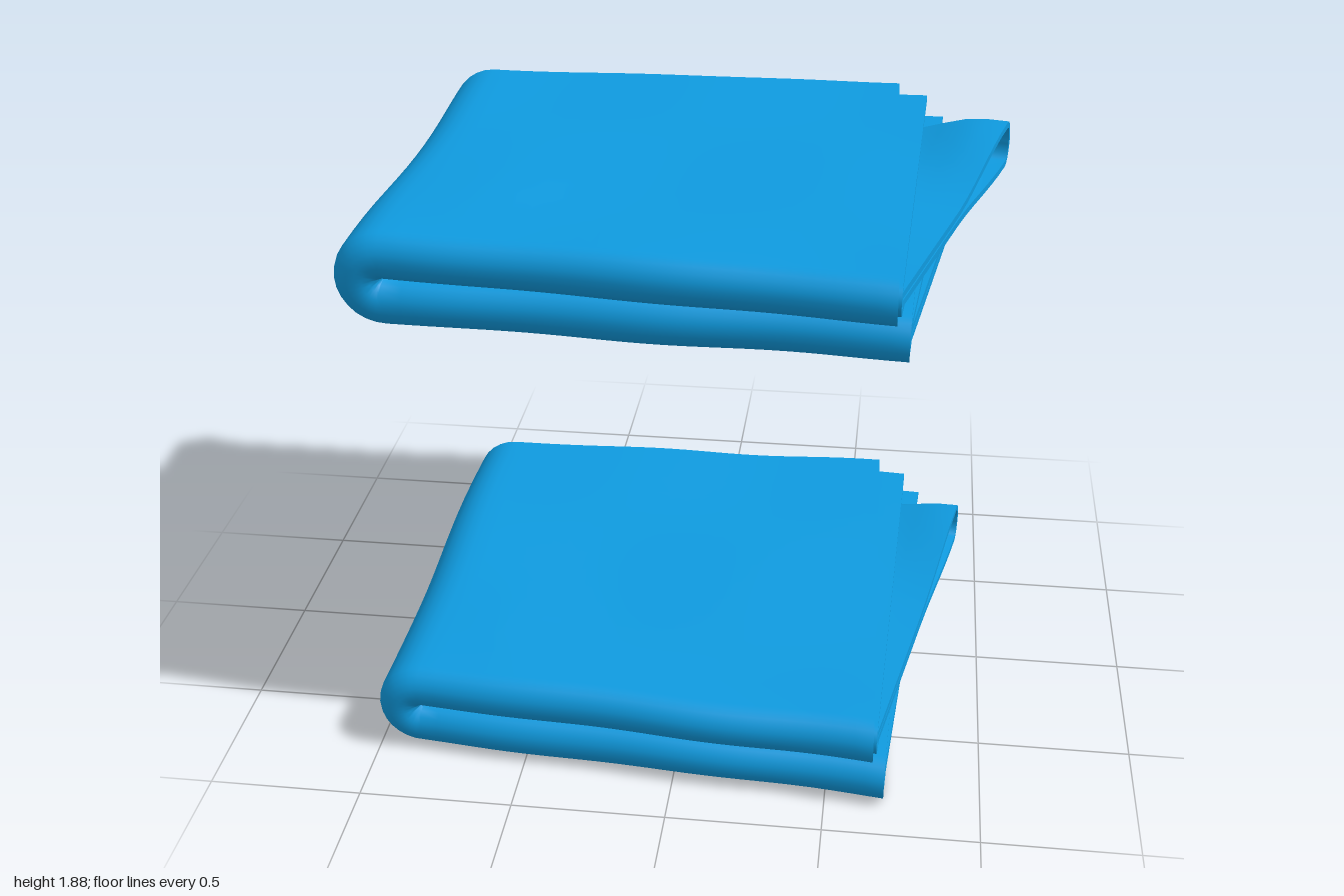
import * as THREE from 'three';
import { toCreasedNormals } from 'three/addons/utils/BufferGeometryUtils.js';

const { lerp, smoothstep } = THREE.MathUtils;
const THICK = 0.021; // cloth thickness
const BEND_X = -0.85; // where the folded strip starts to turn over
const L = 1.7; // nominal depth of a panel

const material = new THREE.MeshStandardMaterial({ color: 0x0f9be0, side: THREE.DoubleSide });

// Centreline of one folded layer as [w, d]: w runs front to back, d is the height above the middle fold.
function centreline(dTop, dLow, looped) {
  const pts = [], mid = (dTop + dLow) / 2, r = (dTop - dLow) / 2, rows = 14;
  const line = (a, b, d, n) => { for (let i = 0; i < n; i++) pts.push([lerp(a, b, i / n), d]); };
  const back = looped ? 0.05 : 0;
  if (looped) {
    line(0.85, L - back, dLow, rows / 2);
    for (let i = 0; i < 12; i++) {
      const a = -Math.PI / 2 + Math.PI * i / 12;
      pts.push([L - back + back * Math.cos(a), mid + r * Math.sin(a)]);
    }
  }
  line(L - back, r, dTop, rows);
  for (let i = 0; i < 10; i++) {
    const a = Math.PI / 2 + Math.PI * i / 10;
    pts.push([r + r * Math.cos(a), mid + r * Math.sin(a)]);
  }
  const end = looped ? 0.85 : L;
  line(r, end, dLow, rows);
  pts.push([end, dLow]);
  return pts;
}

// Half-specs hold the right end of the front and back edges, plus where those edges reach on the left.
function layerGeometry(layer, yc, seed) {
  const { dTop, dLow, looped, upper, lower } = layer;
  const line = centreline(dTop, dLow, looped), n = line.length, mid = (dTop + dLow) / 2;

  // Ring around the thick cloth section: outer side forwards, inner side back
  const offsets = line.map((p, i) => {
    const a = line[Math.max(i - 1, 0)], b = line[Math.min(i + 1, n - 1)];
    const tw = b[0] - a[0], td = b[1] - a[1], len = Math.hypot(tw, td);
    return [td / len * THICK / 2, -tw / len * THICK / 2];
  });
  const ring = [
    ...line.map((p, i) => [p, offsets[i]]),
    ...line.map((p, i) => [p, offsets[i].map(v => -v)]).reverse(),
  ];

  // Stations: upper half right to left, round the left bend, lower half left to right
  const stations = [];
  for (let i = 0; i < 26; i++) stations.push([1 - i / 26, Math.PI / 2]);
  for (let i = 0; i <= 14; i++) stations.push([0, Math.PI / 2 - Math.PI * i / 14]);
  for (let i = 1; i <= 26; i++) stations.push([i / 26, -Math.PI / 2]);

  const positions = [], index = [], M = ring.length;
  for (const [s, theta] of stations) {
    const k = (1 + Math.sin(theta)) / 2;
    const mix = key => lerp(lower[key], upper[key], k);
    for (const [[w, dc], [ow, od]] of ring) {
      const t = (w + ow) / L;
      const splay = looped ? 0 : 0.06 * t * (dTop - dc) / (dTop - dLow);
      const xr = lerp(mix('fx'), mix('bx'), t) + splay;
      const x = lerp(BEND_X, xr, s);
      const across = (xr - x) / (xr + 0.95);
      let z = lerp(lerp(mix('fz'), mix('bz'), t), lerp(mix('fl'), mix('bl'), t), across);

      // Loops spring open where they stick out past the covering layers
      let d = dc;
      if (looped) {
        const open = smoothstep(x, 0.6, 0.9) * smoothstep(t, 0.45, 0.95);
        d = mid + (dc - mid) * (1 + 4 * open) + mix('shift') * open;
      }
      d += od;

      // Soft ripples in the cloth
      const ripple = Math.sin(x * 6 + seed) * Math.sin(z * 4 + seed * 2);
      const bump = Math.exp(-((x + 0.62) ** 2 + (z - 0.4) ** 2) / 0.05) * k * 0.06;
      d *= 1 + 0.022 * ripple + bump;
      z += 0.006 * Math.sin(x * 9 + seed) * (1 - across * 0.5);
      const bendX = BEND_X + 0.012 * Math.sin(z * 4 + seed) * (1 - s);
      positions.push(
        lerp(bendX, xr, s) - d * Math.cos(theta),
        Math.max(0, yc + d * Math.sin(theta)),
        z,
      );
    }
  }

  for (let i = 0; i < stations.length - 1; i++) {
    for (let j = 0; j < M; j++) {
      const a = i * M + j, c = i * M + (j + 1) % M;
      index.push(a, a + M, c, c, a + M, c + M);
    }
  }
  // Cut edges at both right-hand ends
  const last = (stations.length - 1) * M;
  for (let j = 0; j < n - 1; j++) {
    const a = j, b = j + 1, c = M - 2 - j, e = M - 1 - j;
    index.push(a, b, c, a, c, e);
    index.push(last + a, last + c, last + b, last + a, last + e, last + c);
  }
  const geo = new THREE.BufferGeometry();
  geo.setAttribute('position', new THREE.Float32BufferAttribute(positions, 3));
  geo.setIndex(index);
  return toCreasedNormals(geo, 0.9);
}

const edge = (fx, fz, fl, bx, bz, bl, shift = 0) => ({ fx, fz, fl, bx, bz, bl, shift });

function foldedCloth(name, yc, seed, front, loops) {
  const group = new THREE.Group();
  group.name = name;
  const [fu, fd] = front;
  const layers = {
    outerLayer: {
      dTop: 0.141, dLow: 0.012,
      upper: edge(0.65, fu, 0.75, 0.61, -0.86, -0.84),
      lower: edge(0.69, fd, 0.74, 0.67, -0.85, -0.84),
    },
    middleLayer: {
      dTop: 0.115, dLow: 0.038,
      upper: edge(0.66, fu - 0.03, 0.71, 0.71, -0.81, -0.87),
      lower: edge(0.69, fd - 0.03, 0.7, 0.75, -0.77, -0.86),
    },
    innerLoop: {
      dTop: 0.09, dLow: 0.063, looped: true,
      upper: edge(0.66, fu - 0.06, 0.6, ...loops[0]),
      lower: edge(0.69, fd - 0.06, 0.62, ...loops[1]),
    },
  };
  for (const [part, layer] of Object.entries(layers)) {
    const mesh = new THREE.Mesh(layerGeometry(layer, yc, seed), material);
    mesh.name = part;
    group.add(mesh);
  }
  return group;
}

export function createModel() {
  const model = new THREE.Group();
  model.name = 'foldedCloths';
  model.add(
    foldedCloth('lowerCloth', 0.155, 0.6, [0.88, 0.86],
      [[0.92, -0.58, -0.89, 0], [0.8, -0.72, -0.88, -0.04]]),
    foldedCloth('upperCloth', 1.705, 2.1, [0.91, 0.82],
      [[0.99, -0.45, -0.91, 0.015], [0.88, -0.68, -0.89, -0.04]]),
  );
  return model;
}
